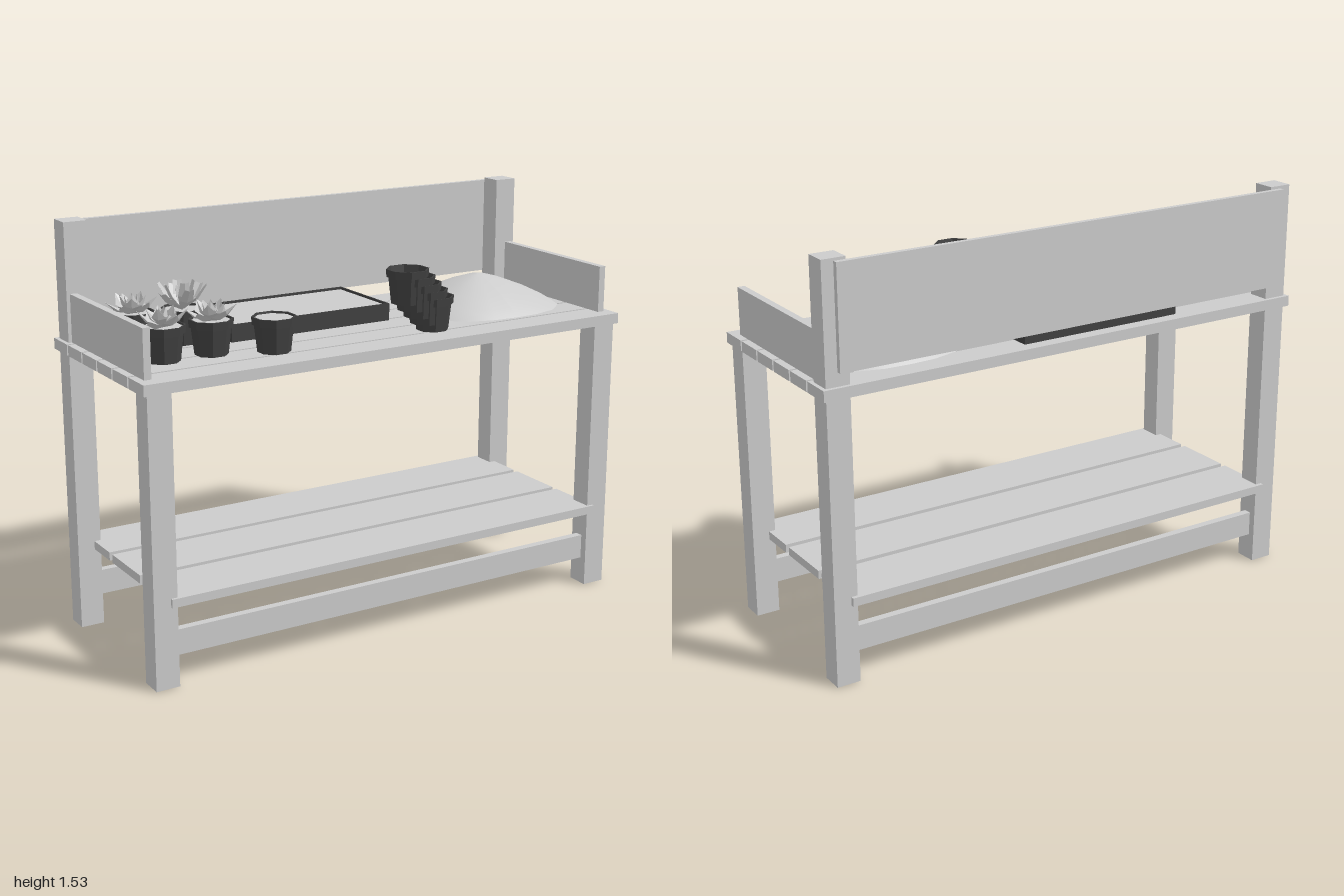
import * as THREE from 'three';

const wood = new THREE.MeshStandardMaterial({ color: 0xcccccc });
const soilMat = new THREE.MeshStandardMaterial({ color: 0xcccccc, side: THREE.DoubleSide });
const leafMat = new THREE.MeshStandardMaterial({ color: 0xcccccc, side: THREE.DoubleSide, flatShading: true });
const plastic = new THREE.MeshStandardMaterial({ color: 0x404040, side: THREE.DoubleSide, flatShading: true });

// Box given by its limits on each axis
function box(parent, name, [x0, x1], [y0, y1], [z0, z1], mat = wood) {
  const m = new THREE.Mesh(new THREE.BoxGeometry(x1 - x0, y1 - y0, z1 - z0), mat);
  m.position.set((x0 + x1) / 2, (y0 + y1) / 2, (z0 + z1) / 2);
  m.name = name;
  parent.add(m);
  return m;
}

// Eight-sided open pot with an overhanging rim, optionally filled with soil
const potProfile = [[0.06, 0], [0.071, 0.098], [0.078, 0.098], [0.08, 0.127], [0.074, 0.127], [0.058, 0.005]]
  .map(([r, y]) => new THREE.Vector2(r, y));
function pot(name, x, y, z, filled) {
  const g = new THREE.Group();
  g.name = name;
  const wall = new THREE.Mesh(new THREE.LatheGeometry(potProfile, 8, Math.PI / 8), plastic);
  wall.name = 'potWall';
  g.add(wall);
  if (filled) {
    const soil = new THREE.Mesh(new THREE.CircleGeometry(0.074, 8, Math.PI / 8), soilMat);
    soil.rotation.x = -Math.PI / 2;
    soil.position.y = 0.12;
    soil.name = 'potSoil';
    g.add(soil);
  }
  g.position.set(x, y, z);
  return g;
}

// Leaf folded along its middle, growing along +z; tip is 0 for pointed, 1 for square-ended
function leafGeometry(length, width, tip) {
  const rows = [[0, 0.35, 0], [0.55, 1, 0], [1, tip, 0.12]];
  const pos = [], index = [];
  rows.forEach(([t, w, lift], i) => {
    const y = lift * length, half = (w * width) / 2;
    pos.push(-half, y, t * length, 0, y - half * 0.35, t * length, half, y, t * length);
    if (i) for (const k of [0, 1]) {
      const a = (i - 1) * 3 + k, b = i * 3 + k;
      index.push(a, b, a + 1, a + 1, b, b + 1);
    }
  });
  const g = new THREE.BufferGeometry();
  g.setAttribute('position', new THREE.Float32BufferAttribute(pos, 3));
  g.setIndex(index);
  g.computeVertexNormals();
  return g;
}

// Rings of leaves: [count, length, width, tilt]
function succulent(rings, tip, turn) {
  const g = new THREE.Group();
  g.name = 'succulent';
  rings.forEach(([count, length, width, tilt], r) => {
    const geo = leafGeometry(length, width, tip);
    for (let i = 0; i < count; i++) {
      const leaf = new THREE.Mesh(geo, leafMat);
      leaf.name = 'leaf';
      leaf.rotation.order = 'YXZ';
      leaf.rotation.y = turn + r * 0.5 + (i / count) * Math.PI * 2;
      leaf.rotation.x = -(tilt + 0.12 * Math.sin(i * 2.4 + turn));
      g.add(leaf);
    }
  });
  g.position.y = 0.122;
  return g;
}

export function createModel() {
  const root = new THREE.Group();
  root.name = 'pottingBench';
  const top = 1.1;

  // Legs, side boards
  for (const s of [-1, 1]) {
    const span = (a, b) => (s > 0 ? [a, b] : [-b, -a]);
    box(root, 'frontLeg', span(0.895, 0.985), [0, 1.06], [0.29, 0.375]);
    box(root, 'backLeg', span(0.895, 0.985), [0, 1.535], [-0.36, -0.275]);
    box(root, 'sideBoard', span(0.945, 0.972), [top, 1.277], [-0.275, 0.33]);
  }
  // Long stretchers
  for (const z of [0.332, -0.318]) box(root, 'stretcher', [-0.9, 0.9], [0.105, 0.2], [z - 0.015, z + 0.015]);
  box(root, 'backPanel', [-0.94, 0.94], [1.15, 1.525], [-0.38, -0.36]);

  // Worktop slats and shelf boards
  for (let i = 0; i < 6; i++) {
    const z = 0.385 - i * 0.1284;
    box(root, 'worktopSlat', [-1, 1], [1.06, top], [z - 0.118, z]);
  }
  for (let i = 0; i < 3; i++) {
    const z = 0.385 - i * 0.2615;
    box(root, 'shelfBoard', [-0.92, 0.92], [0.3, 0.332], [z - 0.237, z]);
  }

  // Seed tray: thin walls around a bed of soil
  const tray = new THREE.Group();
  tray.name = 'seedTray';
  root.add(tray);
  const ty = [top, 1.165], t = 0.006;
  for (const z of [-0.325, 0.025 - t]) box(tray, 'trayWall', [-0.485, 0.185], ty, [z, z + t], plastic);
  for (const x of [-0.485, 0.185 - t]) box(tray, 'trayWall', [x, x + t], ty, [-0.325, 0.025], plastic);
  box(tray, 'trayBase', [-0.48, 0.18], [top, 1.105], [-0.32, 0.02], plastic);
  box(tray, 'traySoil', [-0.479, 0.179], [1.105, 1.156], [-0.319, 0.019]);

  // Planted pots
  const rosette = [[6, 0.105, 0.065, 0.35], [5, 0.085, 0.055, 0.75], [4, 0.07, 0.04, 1.15]];
  const tall = [[6, 0.125, 0.05, 0.6], [4, 0.11, 0.045, 0.95], [3, 0.085, 0.03, 1.25]];
  [
    [-0.805, -0.115, rosette, 0, 0.3], [-0.63, -0.075, tall, 0.7, 0.9],
    [-0.805, 0.13, rosette, 0, 1.2], [-0.62, 0.13, rosette, 0, 0.1],
  ].forEach(([x, z, rings, tip, turn]) => {
    const p = pot('plantedPot', x, top, z, true);
    p.add(succulent(rings, tip, turn));
    root.add(p);
  });
  root.add(pot('soilPot', -0.415, top, 0.21, true));

  // Leaning stack of empty pots
  for (let i = 0; i < 5; i++) root.add(pot('stackedPot', 0.245 - i * 0.028, top + i * 0.028, 0.225, false));

  // Heap of soil, a lathed mound stretched slightly along x
  const heapProfile = [[1, 0], [0.86, 0.028], [0.6, 0.068], [0.32, 0.102], [0.12, 0.12], [0, 0.125]]
    .map(([r, y]) => new THREE.Vector2(r, y));
  const heap = new THREE.Mesh(new THREE.LatheGeometry(heapProfile, 20), soilMat);
  heap.name = 'soilHeap';
  // Outline squared off towards the corners
  const p = heap.geometry.attributes.position;
  for (let i = 0; i < p.count; i++) {
    const a = Math.atan2(p.getZ(i), p.getX(i));
    const k = 1 + 0.09 * Math.sin(2 * a) ** 2;
    p.setXYZ(i, p.getX(i) * k * 0.31, p.getY(i), p.getZ(i) * k * 0.265);
  }
  heap.geometry.computeVertexNormals();
  heap.position.set(0.625, top, -0.025);
  root.add(heap);

  return root;
}
